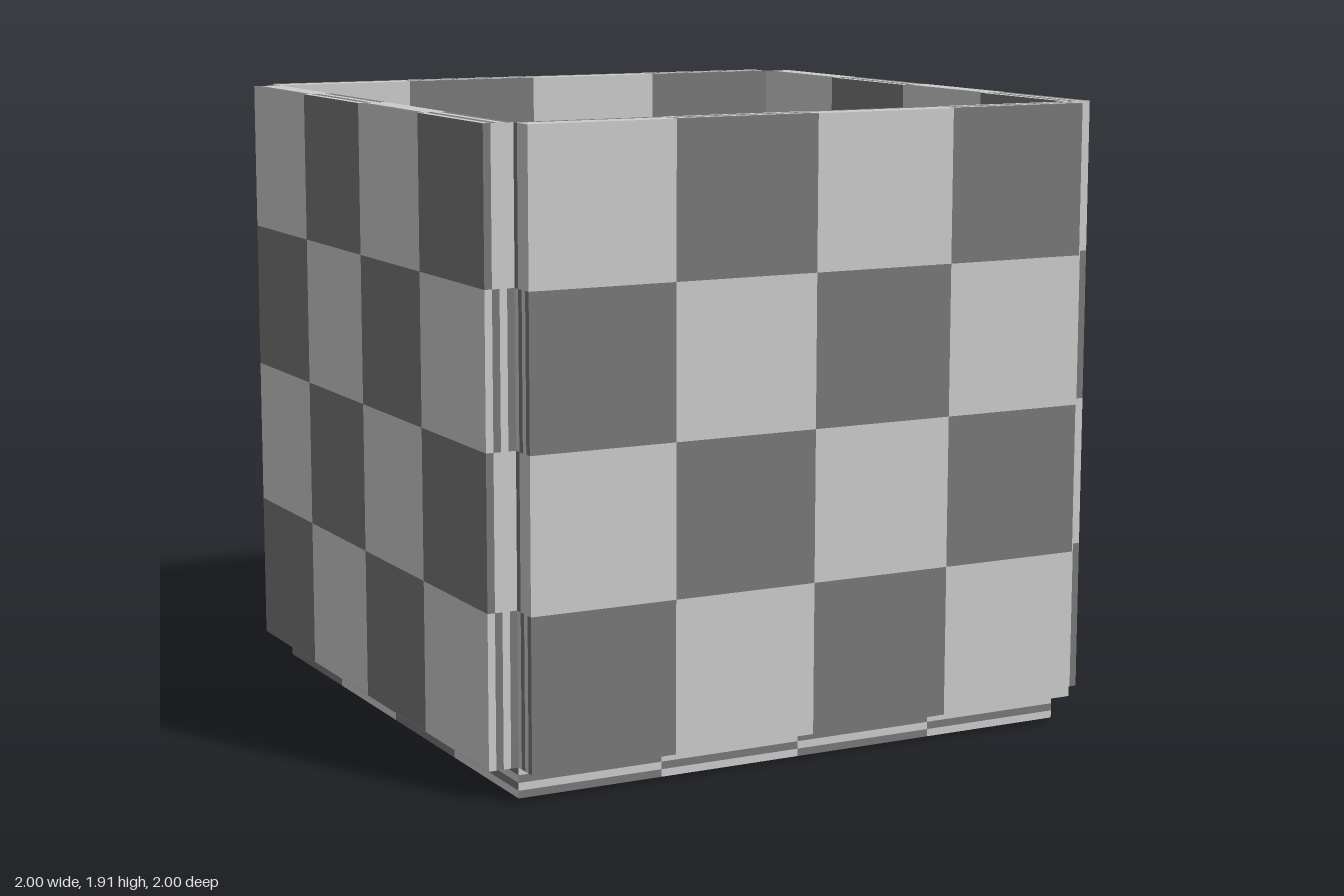
import * as THREE from 'three';

const SIZE = 1.818; // panel side
const T = 0.091; // panel thickness
const N = 4; // checker tiles per side

// Slab whose broad faces are 4 x 4 checkers and whose thin edges carry fine stripes.
// thinAxis: 0 = x, 1 = y, 2 = z
function checkerSlab(name, thinAxis, materials) {
  const dims = [0, 1, 2].map((a) => (a === thinAxis ? T : SIZE));
  const geometry = new THREE.BoxGeometry(...dims, N, N, N);
  geometry.clearGroups();
  // column axis and row axis of each box side, in the order +x -x +y -y +z -z
  const sideAxes = [[2, 1], [2, 1], [0, 2], [0, 2], [0, 1], [0, 1]];
  sideAxes.forEach(([colAxis, rowAxis], side) => {
    const broad = colAxis !== thinAxis && rowAxis !== thinAxis;
    for (let r = 0; r < N; r++) {
      for (let c = 0; c < N; c++) {
        const odd = (r + c) % 2 === 1;
        const across = colAxis === thinAxis ? c : r;
        const striped = thinAxis === 1 ? odd : !odd && across !== 2;
        const dark = broad ? odd : striped;
        geometry.addGroup((side * N * N + r * N + c) * 6, 6, dark ? 1 : 0);
      }
    }
  });
  const mesh = new THREE.Mesh(geometry, materials);
  mesh.name = name;
  return mesh;
}

export function createModel() {
  const group = new THREE.Group();
  group.name = 'openCheckerBox';

  const light = new THREE.MeshStandardMaterial({ color: 0xcccccc });
  light.name = 'lightGrey';
  const dark = new THREE.MeshStandardMaterial({ color: 0x787878 });
  dark.name = 'darkGrey';
  const materials = [light, dark];

  // floor panel
  const floor = checkerSlab('floor', 1, materials);
  floor.position.y = T / 2;
  group.add(floor);

  // four walls, leaving the corner posts empty
  const offset = SIZE / 2 + T / 2;
  const walls = [
    ['leftWall', 0, 1], ['rightWall', 0, -1],
    ['frontWall', 2, 1], ['backWall', 2, -1],
  ];
  for (const [name, axis, sign] of walls) {
    const wall = checkerSlab(name, axis, materials);
    wall.position.y = T + SIZE / 2;
    wall.position.setComponent(axis, sign * offset);
    group.add(wall);
  }

  // small plain cube resting on the floor
  const cubeSize = 0.18;
  const cube = new THREE.Mesh(new THREE.BoxGeometry(cubeSize, cubeSize, cubeSize), light);
  cube.name = 'smallCube';
  cube.position.set(0, T + cubeSize / 2, cubeSize / 2);
  group.add(cube);

  return group;
}
